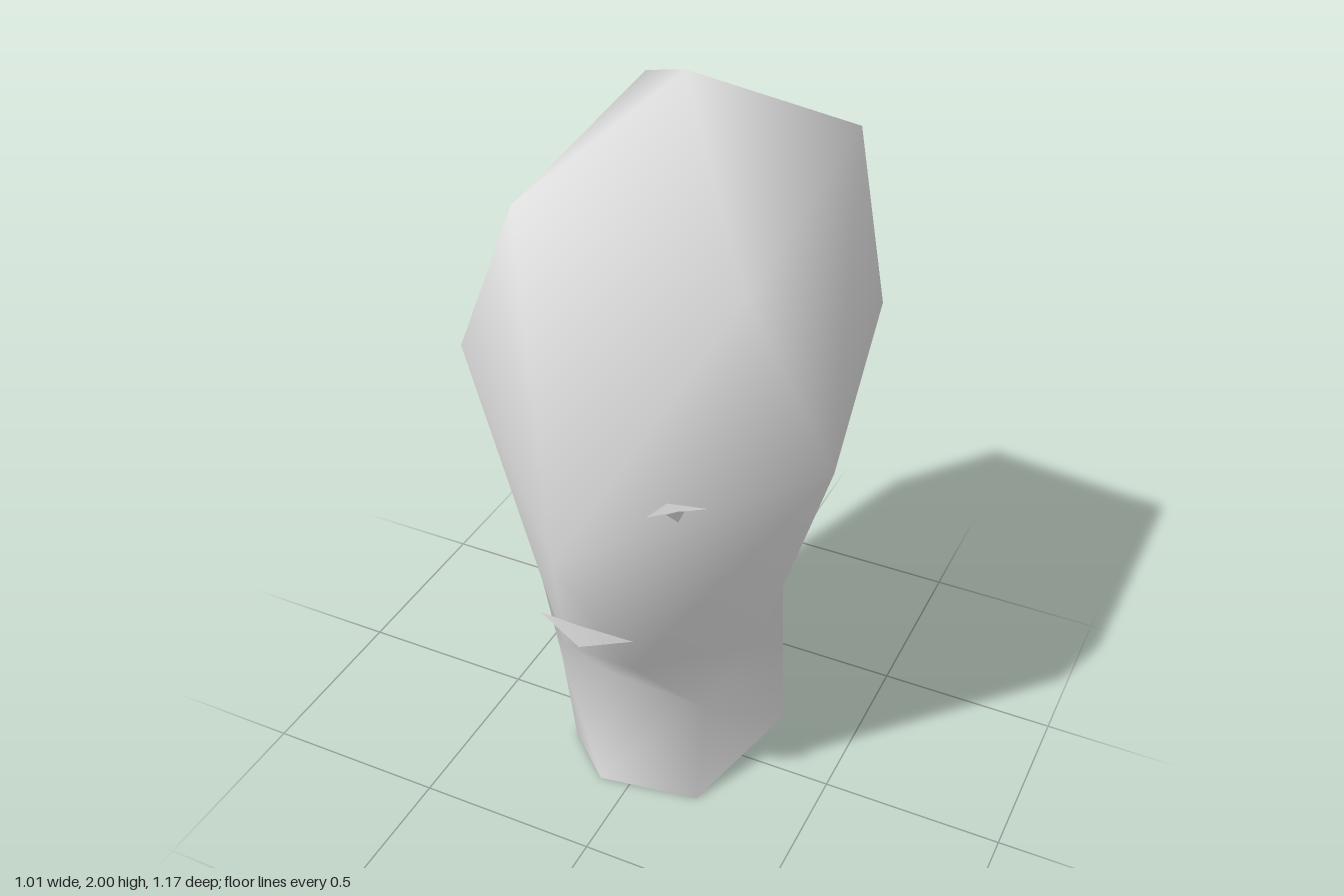
import * as THREE from 'three';

// Loft cross-sections (top to bottom) with differing point counts, taking the shorter diagonal each time
function loft(rings) {
  const points = rings.flat().map((p) => new THREE.Vector3(...p));
  const index = [];
  let start = 0;
  for (let k = 0; k < rings.length - 1; k++) {
    const u = start, l = start + rings[k].length;
    const nu = rings[k].length, nl = rings[k + 1].length;
    const U = (i) => u + (i % nu);
    const L = (j) => l + (j % nl);
    const gap = (a, b) => points[a].distanceTo(points[b]);
    const steps = nu === 1 ? 0 : nu;
    let i = 0, j = 0;
    while (i < steps || j < nl) {
      const lower = i >= steps || (j < nl && gap(U(i), L(j + 1)) <= gap(U(i + 1), L(j)));
      if (lower) { index.push(U(i), L(j), L(j + 1)); j++; }
      else { index.push(U(i), L(j), U(i + 1)); i++; }
    }
    start = l;
  }
  return surface(rings.flat(), index);
}

function surface(points, index) {
  const g = new THREE.BufferGeometry();
  g.setAttribute('position', new THREE.Float32BufferAttribute(points.flat(), 3));
  g.setIndex(index);
  g.computeVertexNormals();
  return g;
}

export function createModel() {
  const model = new THREE.Group();
  const clay = new THREE.MeshStandardMaterial({ color: 0xe0e0e0, side: THREE.DoubleSide });
  clay.name = 'light grey clay';
  const add = (name, geometry) => {
    const mesh = new THREE.Mesh(geometry, clay);
    mesh.name = name;
    model.add(mesh);
  };

  // Head and neck: smooth shell, open at the bottom; each ring runs from the front towards +x
  add('headAndNeck', loft([
    // top of the head
    [[0, 2, -0.1]],
    // crown
    [[-0.235, 1.79, 0.32], [0.35, 1.7, 0.33], [0.33, 1.8, -0.41], [-0.29, 1.81, -0.475]],
    // widest section, from nose to back of the skull
    [[-0.015, 1.03, 0.585], [0.505, 1.16, 0.13], [0.41, 1.31, -0.44], [0, 1.32, -0.585],
      [-0.36, 1.34, -0.49], [-0.505, 1.16, 0.07], [-0.39, 1.39, 0.33]],
    // jaw
    [[-0.1, 0.61, 0.4], [0.1, 0.605, 0.405], [0.3, 0.5, 0.07], [0.2, 0.44, -0.36],
      [-0.26, 0.63, -0.465], [-0.305, 0.52, 0.14]],
    // top of the neck
    [[-0.08, 0.36, 0.2], [0.19, 0.3, 0.16], [0.27, 0.24, -0.21], [-0.185, 0.42, -0.35], [-0.265, 0.28, 0.13]],
    // neck opening
    [[-0.085, 0, 0.255], [0.193, 0, 0.21], [0.288, 0.01, -0.19], [-0.23, 0.01, -0.27], [-0.23, 0, 0.126]],
  ]));

  // Eye: folded lid with a small point below
  add('eye', surface([
    [0.17, 1.145, 0.463], [0.225, 1.15, 0.42], [0.285, 1.145, 0.37], [0.205, 1.172, 0.425],
    [0.213, 1.155, 0.445], [0.225, 1.11, 0.405], [0.242, 1.15, 0.4],
  ], [0, 1, 3, 1, 2, 3, 4, 5, 6]));

  // Mouth: diamond folded around the centre line
  add('mouth', surface([
    [-0.13, 0.75, 0.46], [0, 0.715, 0.5], [0.13, 0.75, 0.46], [0, 0.785, 0.5],
  ], [0, 1, 3, 1, 2, 3]));

  return model;
}
